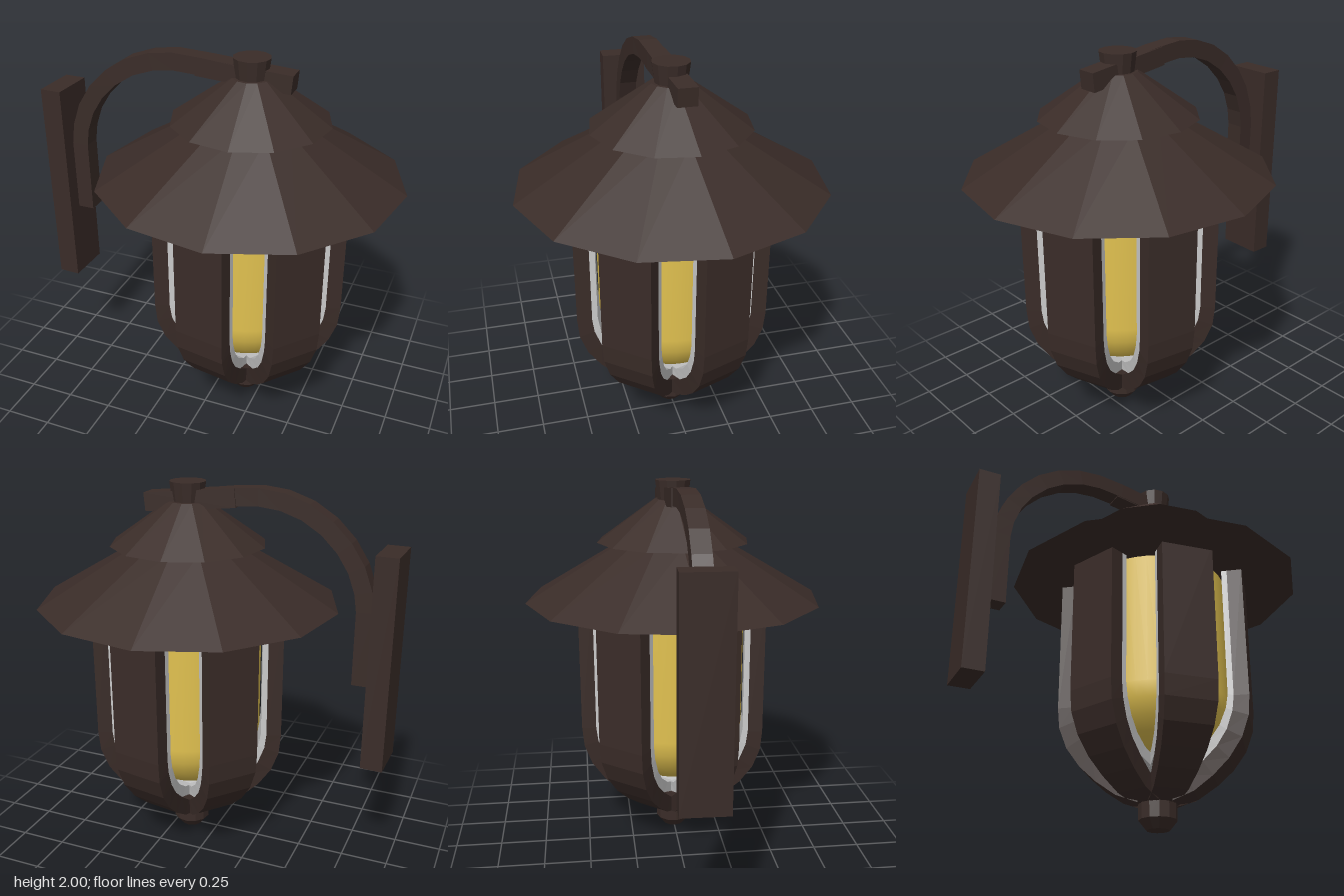
import * as THREE from 'three';

const mat = (color, flatShading = true) => new THREE.MeshStandardMaterial({ color, flatShading });
const bronze = mat(0x3a2c28);
const liningMat = mat(0xcccccc);
const glowMat = mat(0xe2c250, false);
glowMat.side = THREE.DoubleSide;

const CX = 0.16; // lantern axis
const TURN = THREE.MathUtils.degToRad(5);

function add(parent, name, geometry, material, x = 0, y = 0, z = 0) {
  const mesh = new THREE.Mesh(geometry, material);
  mesh.name = name;
  mesh.position.set(x, y, z);
  parent.add(mesh);
  return mesh;
}

// Closed solid through four-cornered rings, counterclockwise about the travel direction
function loft(rings) {
  const pos = [];
  const quad = (a, b, c, d) => [a, b, c, a, c, d].forEach((p) => pos.push(...p));
  for (let i = 0; i < rings.length - 1; i++) {
    const a = rings[i], b = rings[i + 1];
    for (let k = 0; k < 4; k++) {
      const n = (k + 1) % 4;
      quad(a[k], a[n], b[n], b[k]);
    }
  }
  const [f, l] = [rings[0], rings[rings.length - 1]];
  quad(f[3], f[2], f[1], f[0]);
  quad(l[0], l[1], l[2], l[3]);
  const g = new THREE.BufferGeometry();
  g.setAttribute('position', new THREE.Float32BufferAttribute(pos, 3));
  g.computeVertexNormals();
  return g;
}

// Curved strip between an outer and inner profile of [radius, y]
const strip = (outer, inner, widths) => loft(outer.map(([r, y], i) => {
  const w = widths[i], [ri, yi] = inner[i];
  return [[w, y, r], [-w, y, r], [-w, yi, ri], [w, yi, ri]];
}));

// Straight or curved square bar through [x, y, z] points
function bar(points, h, w) {
  return loft(points.map((p, i) => {
    const a = points[Math.max(0, i - 1)], b = points[Math.min(points.length - 1, i + 1)];
    const len = Math.hypot(b[0] - a[0], b[1] - a[1]);
    const nx = -(b[1] - a[1]) / len * h / 2, ny = (b[0] - a[0]) / len * h / 2;
    return [[1, 1], [-1, 1], [-1, -1], [1, -1]].map(([u, v]) =>
      [p[0] + nx * u, p[1] + ny * u, p[2] + v * w / 2]);
  }));
}

export function createModel() {
  const model = new THREE.Group();
  model.name = 'wallLantern';

  const lantern = new THREE.Group();
  lantern.name = 'lantern';
  lantern.position.x = CX;
  model.add(lantern);

  // Two-tier roof, top cap and bottom finial
  const turned = (name, rTop, rBottom, y0, y1) => {
    const g = new THREE.CylinderGeometry(rTop, rBottom, y1 - y0, 12);
    add(lantern, name, g, bronze, 0, (y0 + y1) / 2).rotation.y = TURN;
  };
  turned('lowerRoof', 0.27, 0.8, 1.37, 1.685);
  turned('upperRoof', 0.1, 0.41, 1.68, 1.9);
  turned('topCap', 0.095, 0.08, 1.88, 2);
  turned('finial', 0.1, 0.1, 0.05, 0.15);
  turned('finialTip', 0.1, 0.06, 0, 0.05);

  // Six ribs that curve in to the finial, each with a lining strip behind it
  const outer = [[0.505, 1.4], [0.505, 0.64], [0.495, 0.53], [0.455, 0.42],
    [0.385, 0.32], [0.3, 0.24], [0.2, 0.17], [0.09, 0.13]];
  const inner = [[0.425, 1.4], [0.425, 0.64], [0.415, 0.56], [0.38, 0.465],
    [0.325, 0.385], [0.25, 0.315], [0.165, 0.25], [0.07, 0.22]];
  const lining = [[0.395, 1.39], [0.395, 0.65], [0.382, 0.575], [0.345, 0.49],
    [0.29, 0.42], [0.215, 0.365], [0.13, 0.335], [0.02, 0.325]];
  const liningOuter = inner.map(([r, y], i) => i < 6 ? [r, y] : [r - 0.02, [0.28, 0.265][i - 6]]);
  const widths = [0.14, 0.14, 0.138, 0.13, 0.118, 0.105, 0.092, 0.08];
  const ribGeometry = strip(outer, inner, widths);
  const liningGeometry = strip(liningOuter, lining, widths);
  for (let i = 0; i < 6; i++) {
    const angle = THREE.MathUtils.degToRad(-10 + i * 60);
    add(lantern, 'rib', ribGeometry, bronze).rotation.y = angle;
    add(lantern, 'ribLining', liningGeometry, liningMat).rotation.y = angle;
  }

  // Glowing lamp glass with a rounded bottom
  const glass = [[0.001, 0.345], [0.12, 0.355], [0.21, 0.385], [0.285, 0.435],
    [0.34, 0.5], [0.375, 0.58], [0.387, 0.66], [0.387, 1.38]];
  add(lantern, 'lampGlass', new THREE.LatheGeometry(
    glass.map(([r, y]) => new THREE.Vector2(r, y)), 40), glowMat);

  // Wall plate
  add(model, 'wallPlate', new THREE.BoxGeometry(0.115, 1.12, 0.245), bronze,
    -0.898, 1.17, 0.023).rotation.y = -0.03;

  // Bent arm and the crossbar through the top cap
  add(model, 'arm', bar([
    [-0.79, 1.03, 0.03], [-0.79, 1.42, 0.03], [-0.775, 1.52, 0.03], [-0.735, 1.63, 0.03],
    [-0.67, 1.73, 0.03], [-0.58, 1.82, 0.03], [-0.47, 1.89, 0.028], [-0.35, 1.932, 0.025],
    [-0.23, 1.947, 0.02], [-0.08, 1.937, 0.014], [0.1, 1.915, 0.003],
  ], 0.09, 0.095), bronze);
  add(model, 'crossbar', bar([[-0.11, 1.935, 0.012], [0.372, 1.89, -0.025]], 0.095, 0.1), bronze);

  return model;
}
